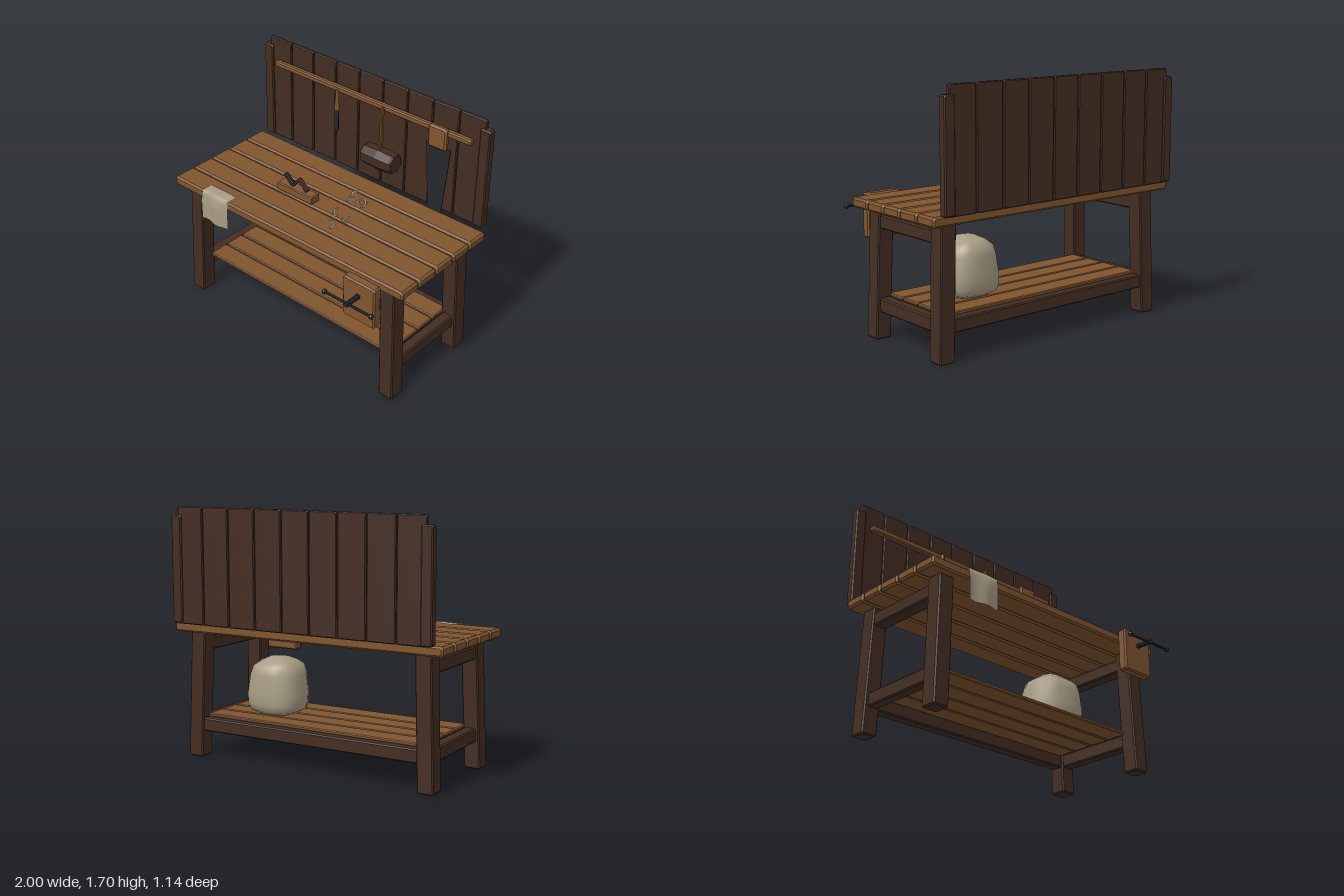
import * as THREE from 'three';

const mat = (color, extra = {}) => new THREE.MeshStandardMaterial({ color, ...extra });

export function createModel() {
  const root = new THREE.Group();
  const oak = mat(0x80552f), dark = mat(0x432d22), iron = mat(0x25282b);
  const ironFlat = mat(0x25282b, { flatShading: true });
  const malletWood = mat(0x432a20, { flatShading: true });
  const linen = mat(0xa89d84, { side: THREE.DoubleSide });
  const curl = mat(0xa89d84, { side: THREE.DoubleSide, flatShading: true });

  const add = (name, geo, material, x = 0, y = 0, z = 0, parent = root) => {
    const m = new THREE.Mesh(geo, material);
    m.name = name;
    m.position.set(x, y, z);
    parent.add(m);
    return m;
  };
  const group = (name, x = 0, y = 0, z = 0) => {
    const g = new THREE.Group();
    g.name = name;
    g.position.set(x, y, z);
    root.add(g);
    return g;
  };
  // Box with every edge chamfered by c
  const block = (w, h, d, c = 0.01) => {
    const a = w / 2 - c, b = h / 2 - c, k = c * 0.6;
    const shape = new THREE.Shape([[a, -b + k], [a, b - k], [a - k, b], [-a + k, b], [-a, b - k], [-a, -b + k], [-a + k, -b], [a - k, -b]]
      .map(p => new THREE.Vector2(...p)));
    return new THREE.ExtrudeGeometry(shape, { depth: d - 2 * c, bevelSize: c, bevelThickness: c, bevelSegments: 1 })
      .translate(0, 0, c - d / 2);
  };
  // Bar between two points in the xy plane
  const bar = (name, [x0, y0], [x1, y1], thick, depth, material, parent) => {
    const m = add(name, block(Math.hypot(x1 - x0, y1 - y0), thick, depth, 0.004), material, (x0 + x1) / 2, (y0 + y1) / 2, 0, parent);
    m.rotation.z = Math.atan2(y1 - y0, x1 - x0);
  };

  // Table top planks
  for (let i = 0; i < 5; i++) add('topPlank', block(2, 0.066, 0.166, 0.012), oak, 0, 0.895, 0.277 - 0.1748 * i);

  // Splayed legs: lower ends pushed outward
  for (const sx of [-1, 1]) for (const [z, lean] of [[0.255, 0.014], [-0.398, -0.014]]) {
    const geo = block(0.113, 0.862, 0.113, 0.008), p = geo.attributes.position;
    for (let i = 0; i < p.count; i++) {
      const t = 0.5 - p.getY(i) / 0.862;
      p.setX(i, p.getX(i) + sx * 0.03 * t);
      p.setZ(i, p.getZ(i) + lean * t);
    }
    geo.computeVertexNormals();
    add('leg', geo, dark, sx * 0.845, 0.431, z);
  }

  // End rails, back stretcher and shelf
  for (const sx of [-1, 1]) {
    add('endApron', block(0.1, 0.092, 0.62, 0.008), dark, sx * 0.843, 0.777, -0.072);
    add('endStretcher', block(0.08, 0.095, 0.64, 0.008), dark, sx * 0.86, 0.227, -0.072);
  }
  add('backStretcher', block(1.7, 0.09, 0.08, 0.008), dark, 0, 0.225, -0.408);
  for (let i = 0; i < 4; i++) add('shelfPlank', block(1.64, 0.024, 0.148, 0.006), oak, 0, 0.28, 0.16 - 0.158 * i);

  // Back board with end posts and tool rail
  for (let i = 0; i < 9; i++) add('backPlank', block(0.198, 0.778, 0.03, 0.006), dark, (i - 4) * 0.2042, 1.315, -0.545);
  for (const sx of [-1, 1]) add('backPost', block(0.078, 0.715, 0.058, 0.008), dark, sx * 0.921, 1.288, -0.544);
  add('toolRail', block(1.68, 0.042, 0.042, 0.008), oak, 0, 1.53, -0.508);

  // Chisel
  const chisel = group('chisel', -0.243, 0, -0.47);
  add('chiselHandle', new THREE.CylinderGeometry(0.011, 0.018, 0.15, 6), oak, 0, 1.458, 0, chisel);
  add('chiselBlade', new THREE.BoxGeometry(0.032, 0.16, 0.008), iron, 0, 1.308, 0, chisel);

  // Mallet with an eight-sided barrel head
  const mallet = group('mallet', 0.157, 0, -0.455);
  add('malletHandle', block(0.022, 0.33, 0.026, 0.005), oak, 0, 1.385, -0.004, mallet);
  const headProfile = [[0, -0.13], [0.062, -0.13], [0.074, -0.115], [0.08, 0], [0.074, 0.115], [0.062, 0.13], [0, 0.13]];
  const head = new THREE.LatheGeometry(headProfile.map(p => new THREE.Vector2(...p)), 8);
  head.rotateY(Math.PI / 8).rotateZ(Math.PI / 2);
  add('malletHead', head, malletWood, 0, 1.17, 0, mallet);

  // Hand saw with tapered blade
  const saw = group('saw', 0.598, 0, -0.488);
  add('sawHandle', block(0.145, 0.16, 0.042, 0.012), oak, -0.004, 1.487, 0, saw);
  const bladeShape = new THREE.Shape([[-0.095, 1.425], [-0.055, 0.932], [0.055, 0.932], [0.1, 1.425]].map(p => new THREE.Vector2(...p)));
  add('sawBlade', new THREE.ExtrudeGeometry(bladeShape, { depth: 0.005, bevelEnabled: false }), iron, 0, 0, -0.002, saw);

  // Hand plane
  const plane = group('handPlane', 0, 0, -0.03);
  add('planeBody', block(0.318, 0.058, 0.08, 0.006), oak, -0.203, 0.957, 0, plane);
  bar('planeIron', [-0.235, 0.985], [-0.315, 1.055], 0.032, 0.026, iron, plane);
  bar('planeWedge', [-0.25, 0.985], [-0.18, 1.062], 0.02, 0.03, dark, plane);
  bar('planeTote', [-0.188, 1.06], [-0.115, 0.99], 0.024, 0.03, dark, plane);

  // Wood shavings: tilted curled strips
  const spots = [[0.11, -0.255], [0.205, -0.235], [0.215, -0.205], [0.145, -0.17], [0.16, -0.012], [0.25, 0.005], [0.22, 0.125]];
  spots.forEach(([x, z], i) => {
    const geo = new THREE.TorusGeometry(0.024, 0.008, 4, 8, 3.6).scale(1, 1, 0.7);
    add('shaving', geo, curl, x, 0.958, z).rotation.set(-0.95 + 0.15 * (i % 3), 0.3 * (i % 2), 1.3 + i * 1.7);
  });

  // Cloth draped over the front edge
  const cloth = new THREE.PlaneGeometry(0.24, 1, 8, 10), cp = cloth.attributes.position;
  for (let i = 0; i < cp.count; i++) {
    const x = cp.getX(i), s = 0.5 - cp.getY(i), hang = Math.max(0, s - 0.3) / 0.7;
    const fold = 0.5 + 0.5 * Math.sin(x * 34 + 0.9);
    const onTop = s < 0.3;
    const y = onTop ? 0.934 + 0.004 * fold : 0.934 - 0.219 * hang;
    const z = onTop ? 0.28 + 0.085 * s / 0.3 : 0.365 + (0.004 + 0.02 * fold) * Math.min(1, hang * 3);
    cp.setXYZ(i, x, y, z);
  }
  cloth.computeVertexNormals();
  add('cloth', cloth, linen, -0.602, 0, 0);

  // Sack: rounded-square rings stacked upward
  const rings = [[0.293, 0.05], [0.295, 0.135], [0.315, 0.172], [0.36, 0.188], [0.43, 0.19], [0.56, 0.175], [0.62, 0.158], [0.655, 0.11], [0.676, 0.06], [0.684, 0.002]];
  const sides = 16, pos = [], idx = [];
  rings.forEach(([y, r], j) => {
    for (let i = 0; i < sides; i++) {
      const a = i / sides * Math.PI * 2, c = Math.cos(a), s = Math.sin(a);
      const q = r / Math.pow(c ** 4 + s ** 4, 0.2) * (1 + 0.018 * Math.sin(3 * a + j));
      pos.push(q * c, y, q * s * 0.95);
      if (j) {
        const k = (i + 1) % sides, lo = (j - 1) * sides, hi = j * sides;
        idx.push(lo + i, hi + i, lo + k, lo + k, hi + i, hi + k);
      }
    }
  });
  const sack = new THREE.BufferGeometry();
  sack.setAttribute('position', new THREE.Float32BufferAttribute(pos, 3));
  sack.setIndex(idx);
  sack.computeVertexNormals();
  add('sack', sack, linen, 0.437, 0, -0.092);

  // Front vise: jaw, screw and sliding handle with end knobs
  const vise = group('vise', 0.736, 0.828, 0);
  add('viseJaw', block(0.255, 0.3, 0.066, 0.01), oak, 0, -0.049, 0.42, vise);
  add('viseScrew', new THREE.CylinderGeometry(0.017, 0.017, 0.26, 8).rotateX(Math.PI / 2), ironFlat, 0, 0, 0.44, vise);
  add('viseHandle', new THREE.CylinderGeometry(0.009, 0.009, 0.38, 8).rotateZ(Math.PI / 2), ironFlat, 0, 0, 0.553, vise);
  for (const sx of [-1, 1]) add('viseKnob', new THREE.SphereGeometry(0.018, 8, 6), ironFlat, sx * 0.185, 0, 0.553, vise);

  return root;
}
